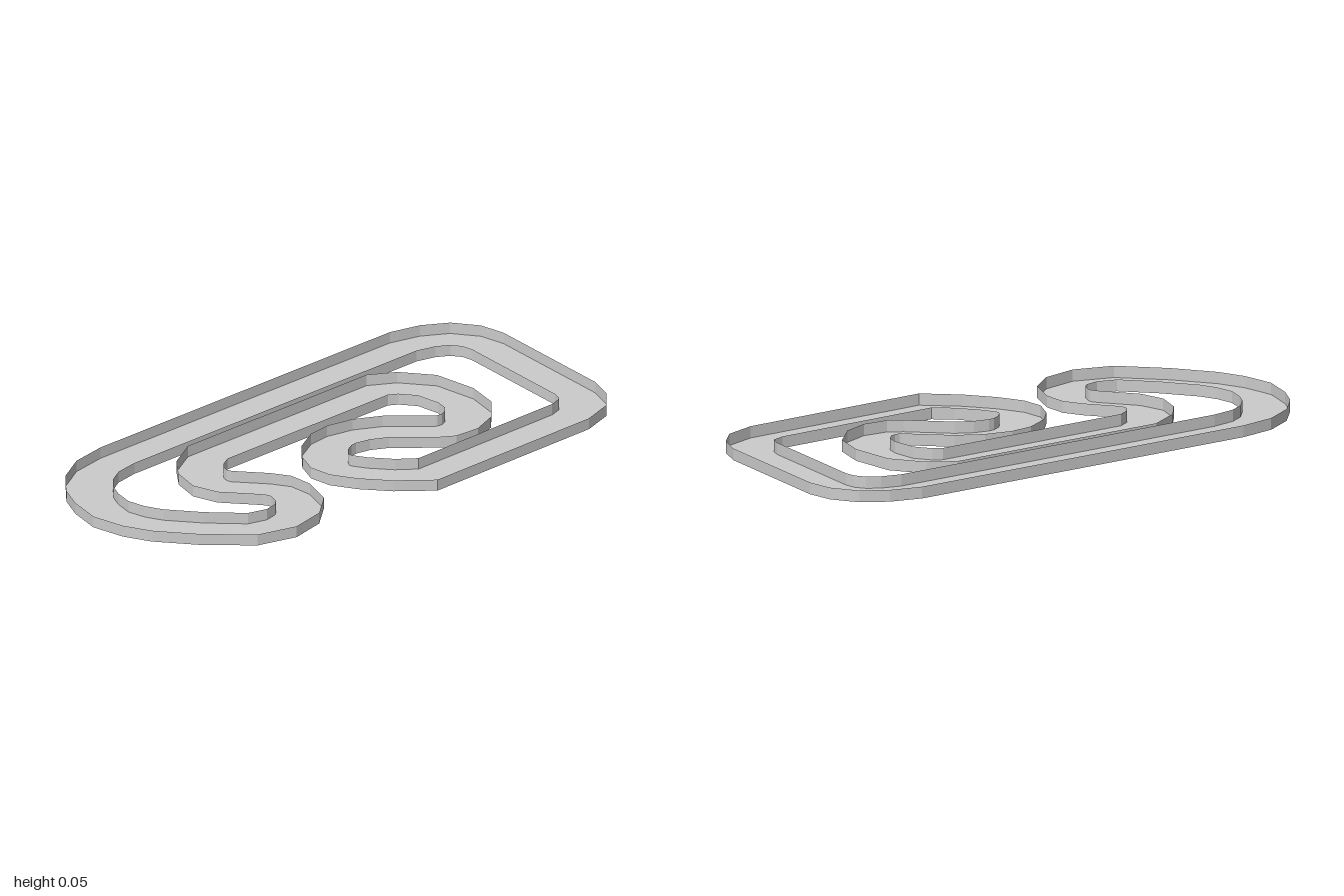
import * as THREE from 'three';

// Centreline of the circuit as x, z pairs, clockwise from above
const OUTER_RUN = [
  // rounded left end
  -0.747, 0.187, -0.85, 0.068, -0.893, -0.01, -0.918, -0.102, -0.903, -0.195,
  -0.875, -0.264, -0.82, -0.331, -0.743, -0.376,
  // back straight and right end
  -0.635, -0.394, 0.69, -0.394, 0.783, -0.37, 0.853, -0.33, 0.9, -0.27, 0.917, -0.205,
  0.917, 0.265, 0.9, 0.325, 0.868, 0.362, 0.79, 0.387,
  // end of the front straight
  0.124, 0.393,
];
const INFIELD_RUN = [
  // first hairpin and diagonal
  0.03, 0.32, -0.045, 0.237, -0.088, 0.17, -0.097, 0.125, -0.08, 0.078, -0.045, 0.035,
  0.012, 0.003, 0.065, -0.003, 0.143, 0.013, 0.222, 0.053, 0.362, 0.17,
  // second hairpin
  0.39, 0.187, 0.446, 0.191, 0.503, 0.169, 0.55, 0.117, 0.563, 0.035,
  0.538, -0.088, 0.47, -0.169, 0.406, -0.205,
  // inner straight and S-bend
  -0.38, -0.205, -0.453, -0.163, -0.488, -0.115, -0.5, -0.055, -0.479, 0,
  -0.38, 0.108, -0.352, 0.15, -0.346, 0.2, -0.368, 0.275, -0.42, 0.32,
  -0.507, 0.338, -0.615, 0.307,
];
const HEIGHT = 0.043;

// Points with the half width of the road at each
const toPoints = (run, half) => Array.from({ length: run.length / 2 }, (_, i) => (
  { p: new THREE.Vector2(run[2 * i], run[2 * i + 1]), half }));

// Mitred edge of a closed path; side +1 is outside, -1 is inside
function edge(path, side) {
  const n = path.length;
  return path.map(({ p, half }, i) => {
    const a = p.clone().sub(path[(i + n - 1) % n].p).normalize();
    const b = path[(i + 1) % n].p.clone().sub(p).normalize();
    const t = a.clone().add(b).normalize();
    const d = side * half / t.dot(b);
    return new THREE.Vector2(p.x + t.y * d, -(p.y - t.x * d));
  });
}

// The road falls very slightly towards +x
const ground = (x) => 0.004 * (1 - x);

// Thin upright wall along a closed loop
function wallGeometry(loop) {
  const verts = [];
  loop.forEach((a, i) => {
    const b = loop[(i + 1) % loop.length];
    const [a0, b0] = [a, b].map((p) => [p.x, ground(p.x), -p.y]);
    const [a1, b1] = [a, b].map((p) => [p.x, ground(p.x) + HEIGHT, -p.y]);
    verts.push(...a0, ...a1, ...b1, ...a0, ...b1, ...b0);
  });
  const geometry = new THREE.BufferGeometry();
  geometry.setAttribute('position', new THREE.Float32BufferAttribute(verts, 3));
  geometry.computeVertexNormals();
  return geometry;
}

export function createModel() {
  const group = new THREE.Group();
  group.name = 'raceCircuit';
  const material = new THREE.MeshStandardMaterial({
    color: 0xcccccc, flatShading: true, side: THREE.DoubleSide });
  const add = (name, geometry) => {
    const mesh = new THREE.Mesh(geometry, material);
    mesh.name = name;
    group.add(mesh);
  };

  const path = [...toPoints(OUTER_RUN, 0.083), ...toPoints(INFIELD_RUN, 0.081)];
  const outside = edge(path, 1);
  const inside = edge(path, -1).reverse();

  // Road surface, low between the two walls
  const shape = new THREE.Shape(outside);
  shape.holes.push(new THREE.Path(inside));
  const road = new THREE.ShapeGeometry(shape);
  road.rotateX(-Math.PI / 2);
  const pos = road.attributes.position;
  for (let i = 0; i < pos.count; i++) pos.setY(i, ground(pos.getX(i)));
  road.computeVertexNormals();
  add('roadSurface', road);

  // Walls on both sides, open at the top
  add('outerWall', wallGeometry(outside));
  add('innerWall', wallGeometry(inside));
  return group;
}
